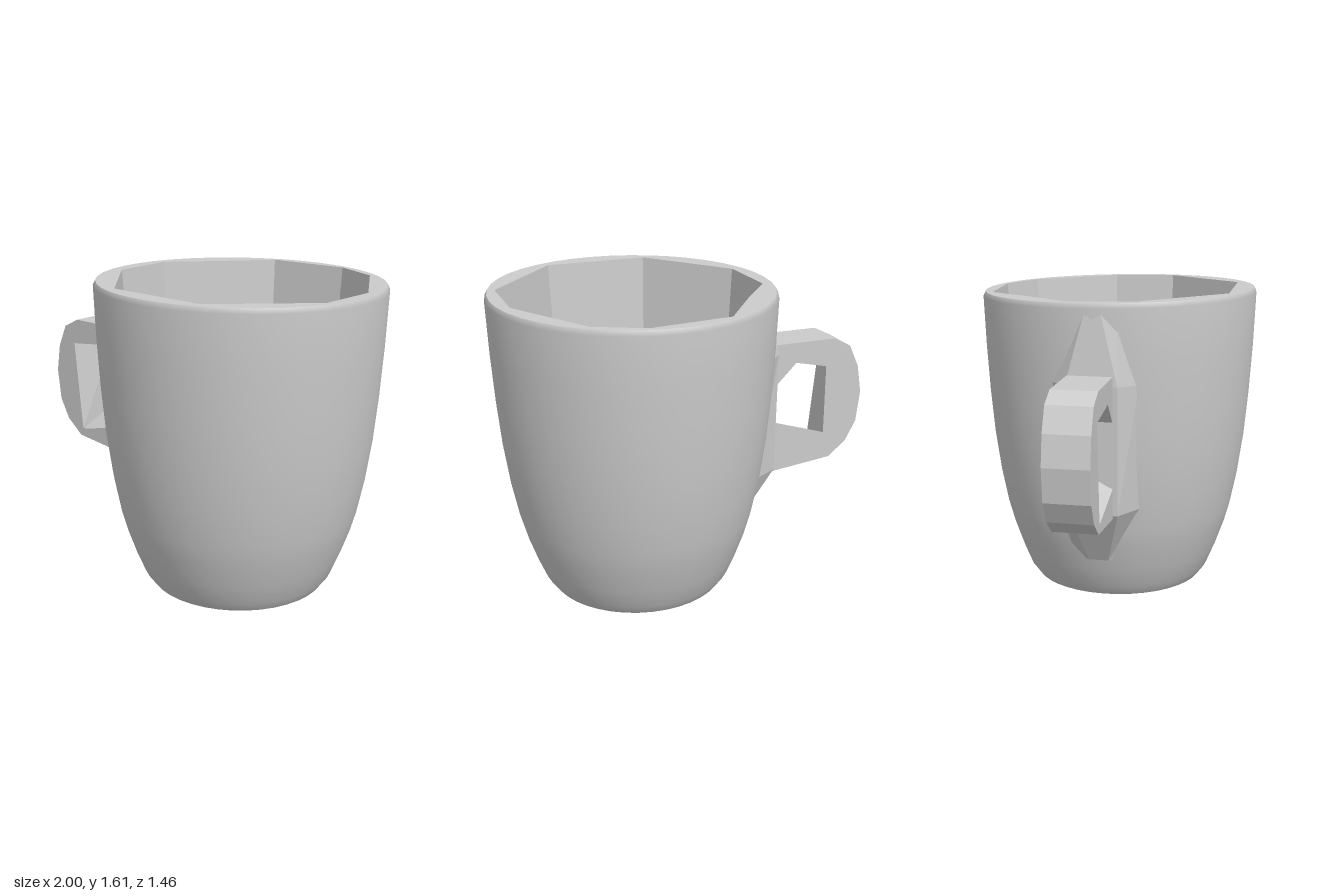
import * as THREE from 'three';

const CX = 0.27; // axis of the cup
const smooth = () => new THREE.MeshStandardMaterial({ color: 0xcccccc, side: THREE.DoubleSide });
const faceted = () => new THREE.MeshStandardMaterial({ color: 0xcccccc, flatShading: true, side: THREE.DoubleSide });

function part(name, geometry, material) {
  const mesh = new THREE.Mesh(geometry, material);
  mesh.name = name;
  return mesh;
}

// Skin between cross-sections that have the same number of points
function loft(rings, closed) {
  const n = rings[0].length;
  const index = [];
  for (let r = 0; r < rings.length - 1; r++) {
    for (let i = 0; i < (closed ? n : n - 1); i++) {
      const a = r * n + i, b = r * n + (i + 1) % n;
      index.push(a, b, a + n, b, b + n, a + n);
    }
  }
  const g = new THREE.BufferGeometry();
  g.setAttribute('position', new THREE.Float32BufferAttribute(rings.flat(2), 3));
  g.setIndex(index);
  const flat = g.toNonIndexed();
  flat.computeVertexNormals();
  return flat;
}

// Irregular mouth of the faceted inside, as [x, z]
const MOUTH = [
  [0, -0.63], [0.42, -0.67], [0.66, -0.56], [0.92, -0.14], [0.92, 0.2],
  [0.54, 0.61], [0, 0.61], [-0.36, 0.2], [-0.38, -0.14], [-0.2, -0.36],
];
// Slight slope of the lip from front to back
const lipY = z => 1.595 + 0.012 * z / 0.73;

function createOuterWall() {
  const profile = [
    [0.46, 0.015], [0.5, 0.07], [0.545, 0.18], [0.59, 0.31], [0.62, 0.42],
    [0.655, 0.6], [0.685, 0.82], [0.705, 1.05], [0.72, 1.3], [0.73, 1.57], [0.718, 1.595],
  ].map(p => new THREE.Vector2(...p));
  const g = new THREE.LatheGeometry(profile, 40);
  const pos = g.attributes.position;
  for (let i = 0; i < pos.count; i++) {
    if (pos.getY(i) > 1.5) pos.setY(i, pos.getY(i) + 0.012 * pos.getZ(i) / 0.73);
  }
  g.translate(CX, 0, 0);
  return part('outerWall', g, smooth());
}

function createRim() {
  const shape = new THREE.Shape();
  shape.absarc(CX, 0, 0.718, 0, Math.PI * 2);
  shape.holes.push(new THREE.Path(MOUTH.map(([x, z]) => new THREE.Vector2(x, -z))));
  const g = new THREE.ShapeGeometry(shape, 20);
  g.rotateX(-Math.PI / 2);
  const pos = g.attributes.position;
  for (let i = 0; i < pos.count; i++) pos.setY(i, lipY(pos.getZ(i)));
  return part('rim', g, faceted());
}

function createInside() {
  // Scale of the mouth polygon at each height, ending in the floor centre
  const levels = [[1, null], [0.97, 1.3], [0.93, 0.9], [0.86, 0.5], [0.76, 0.25], [0.62, 0.13], [0, 0.11]];
  const rings = levels.map(([s, y]) =>
    MOUTH.map(([x, z]) => [CX + (x - CX) * s, y ?? lipY(z), z * s]));
  return part('inside', loft(rings, true), faceted());
}

function createBase() {
  const profile = [[0, 0.05], [0.36, 0.025], [0.42, 0], [0.46, 0.015]].map(p => new THREE.Vector2(...p));
  const g = new THREE.LatheGeometry(profile, 14);
  g.translate(CX, 0, 0);
  return part('base', g, faceted());
}

function createHandleMount() {
  // Raised strip on the wall: each row is [height, centre x, edge x, half width, edge z]
  const rows = [
    [1.55, -0.455, -0.43, 0.04, 0.12], [1.2, -0.49, -0.40, 0.13, 0.22],
    [0.55, -0.48, -0.33, 0.13, 0.22], [0.25, -0.31, -0.24, 0.05, 0.15],
  ];
  const rings = rows.map(([y, x, ex, w, ez]) => [[ex, y, -ez], [x, y, -w], [x, y, w], [ex, y, ez]]);
  return part('handleMount', loft(rings, false), faceted());
}

function createHandle() {
  const outline = [
    [-0.44, 1.25], [-0.82, 1.25], [-0.92, 1.2], [-0.975, 1.08], [-1, 0.93], [-0.98, 0.76],
    [-0.92, 0.65], [-0.82, 0.57], [-0.44, 0.53],
    [-0.44, 0.83], [-0.78, 0.72], [-0.78, 1.1], [-0.6, 1.14], [-0.44, 0.98],
  ];
  // The opening flares towards the front: grip corners as [back x, back y, front x, front y]
  const flare = [[-0.44, 0.83, -0.44, 0.7], [-0.78, 0.72, -0.8, 0.61], [-0.78, 1.1, -0.85, 1.11]];
  const g = new THREE.ExtrudeGeometry(
    new THREE.Shape(outline.map(p => new THREE.Vector2(...p))),
    { depth: 0.225, bevelEnabled: false });
  g.translate(0, 0, -0.12);
  const pos = g.attributes.position;
  for (let i = 0; i < pos.count; i++) {
    if (pos.getZ(i) < 0) continue;
    const hit = flare.find(f => Math.hypot(pos.getX(i) - f[0], pos.getY(i) - f[1]) < 0.001);
    if (hit) pos.setXY(i, hit[2], hit[3]);
  }
  g.computeVertexNormals();
  return part('handle', g, faceted());
}

export function createModel() {
  const mug = new THREE.Group();
  mug.name = 'mug';
  mug.add(createOuterWall(), createRim(), createInside(), createBase(), createHandleMount(), createHandle());
  return mug;
}
